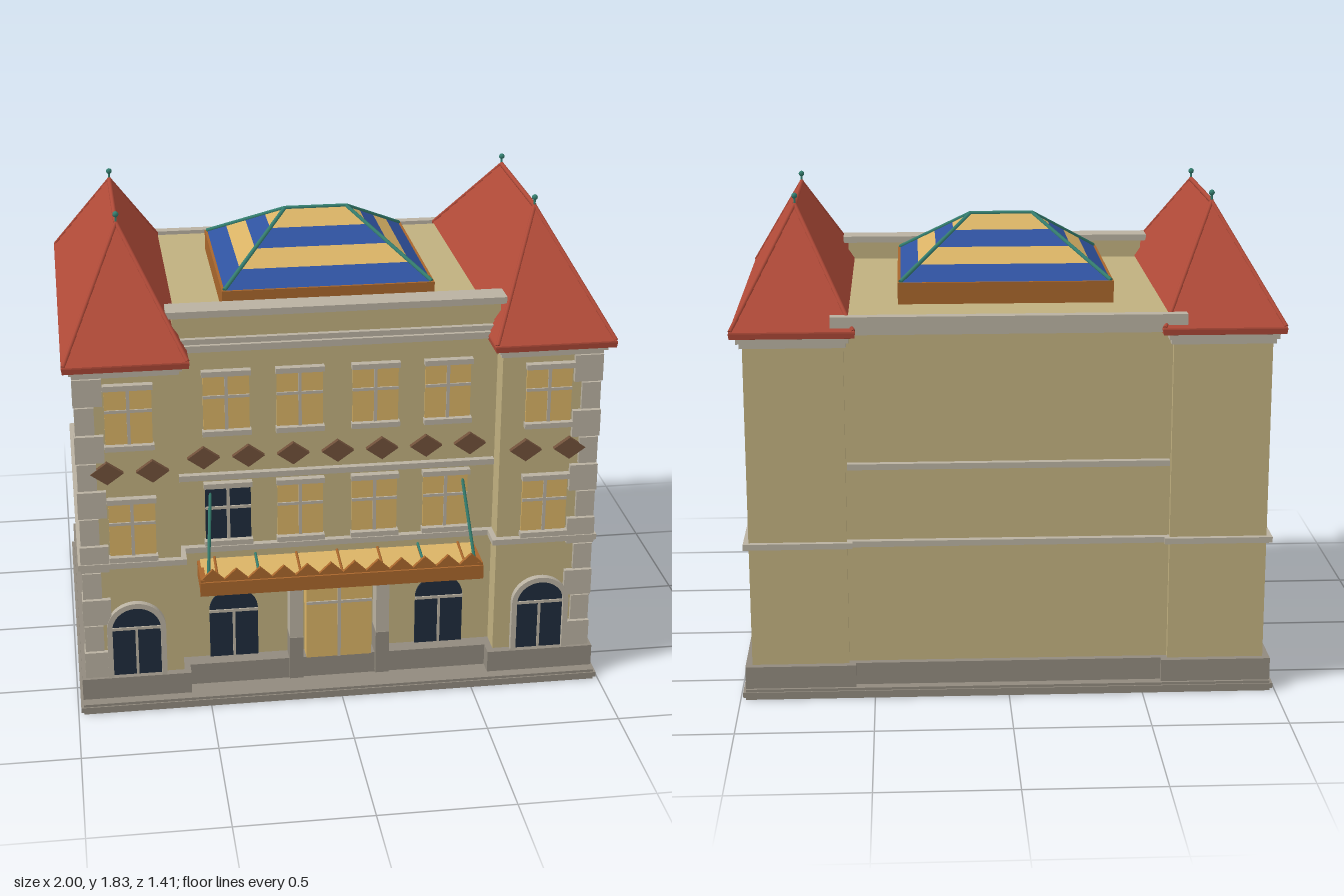
import * as THREE from 'three';

const mat = (name, color) => {
  const m = new THREE.MeshStandardMaterial({ color });
  m.name = name;
  return m;
};

export function createModel() {
  const root = new THREE.Group();
  root.name = 'townBuilding';
  const wall = mat('wall plaster', 0xc0b07f), stone = mat('light stone', 0xb9b1a1);
  const base = mat('base stone', 0x918a7e), red = mat('roof tile', 0xb04a38);
  const navy = mat('dark glass', 0x1f2c3c), tan = mat('lit glass', 0xd9b265);
  const blue = mat('blue glass', 0x2f529f), wood = mat('orange wood', 0xa8662c);
  const brown = mat('brown ornament', 0x70503a), teal = mat('copper', 0x357f70);

  const add = (name, geo, m, parent = root) => {
    const o = new THREE.Mesh(geo, m);
    o.name = name;
    parent.add(o);
    return o;
  };
  // box given by its limits on each axis
  const box = (name, m, x0, x1, y0, y1, z0, z1, parent = root) => {
    const o = add(name, new THREE.BoxGeometry(x1 - x0, y1 - y0, z1 - z0), m, parent);
    o.position.set((x0 + x1) / 2, (y0 + y1) / 2, (z0 + z1) / 2);
    return o;
  };
  // round bar between two points
  const bar = (name, m, a, b, r, parent = root) => {
    const p = new THREE.Vector3(...a), q = new THREE.Vector3(...b), d = q.clone().sub(p);
    const o = add(name, new THREE.CylinderGeometry(r, r, d.length(), 8), m, parent);
    o.position.copy(p).add(q).multiplyScalar(0.5);
    o.quaternion.setFromUnitVectors(new THREE.Vector3(0, 1, 0), d.normalize());
    return o;
  };
  // flat-sided loft through rectangles [halfX, halfZ, y]
  const rectLoft = (rings) => {
    const pos = [];
    const corners = ([hx, hz, y]) => [[-hx, y, hz], [hx, y, hz], [hx, y, -hz], [-hx, y, -hz]];
    for (let k = 0; k < rings.length - 1; k++) {
      const a = corners(rings[k]), b = corners(rings[k + 1]);
      for (let i = 0; i < 4; i++) {
        const j = (i + 1) % 4;
        pos.push(...a[i], ...a[j], ...b[j], ...a[i], ...b[j], ...b[i]);
      }
    }
    const g = new THREE.BufferGeometry();
    g.setAttribute('position', new THREE.Float32BufferAttribute(pos, 3));
    g.computeVertexNormals();
    return g;
  };
  const extrude = (shape, depth) => new THREE.ExtrudeGeometry(shape, { depth, bevelEnabled: false, curveSegments: 16 });
  const lerp = THREE.MathUtils.lerp;

  // Base and main block
  const CZ = 0.54, TZ = 0.63;
  box('baseStep', base, -0.98, 0.98, 0, 0.04, -0.695, 0.7);
  box('baseStepRim', base, -0.99, 0.99, 0.01, 0.03, -0.7, 0.705);
  box('centrePlinth', base, -0.6, 0.6, 0.04, 0.125, -0.66, 0.6);
  box('centreWalls', wall, -0.62, 0.62, 0.1, 1.44, -0.635, CZ);
  box('parapet', wall, -0.6, 0.6, 1.44, 1.51, 0.48, CZ);
  box('parapetCap', stone, -0.62, 0.62, 1.51, 1.535, 0.46, 0.557);
  box('frontCornice', stone, -0.6, 0.6, 1.385, 1.41, CZ - 0.02, 0.575);
  box('frontCorniceTop', stone, -0.6, 0.6, 1.41, 1.43, CZ - 0.02, 0.56);
  box('backCornice', stone, -0.6, 0.6, 1.38, 1.41, -0.67, -0.62);
  box('backCap', stone, -0.64, 0.64, 1.41, 1.45, -0.69, -0.65);
  box('lowerStringCourse', stone, -0.6, 0.6, 0.58, 0.602, -0.66, CZ + 0.025);
  box('upperStringCourse', stone, -0.59, 0.59, 0.875, 0.897, -0.66, CZ + 0.025);

  // Rectangular window with lintel, sill and glazing bars
  const addWindow = (x, y0, z, glass) => {
    const g = new THREE.Group();
    g.name = 'window';
    root.add(g);
    g.position.set(x, y0, z);
    box('glass', glass, -0.085, 0.085, 0, 0.22, 0, 0.008, g);
    box('lintel', stone, -0.09, 0.09, 0.215, 0.235, 0, 0.028, g);
    box('sill', stone, -0.09, 0.09, -0.018, 0.002, 0, 0.03, g);
    box('mullion', stone, -0.006, 0.006, 0, 0.22, 0, 0.014, g);
    box('transom', stone, -0.085, 0.085, 0.125, 0.136, 0, 0.014, g);
  };
  // Arched opening outline
  const arch = (C, w, y0, spring, top) => {
    const s = new C();
    s.moveTo(-w, y0);
    s.lineTo(w, y0);
    s.lineTo(w, spring);
    s.absellipse(0, spring, w, top - spring, 0, Math.PI, false);
    s.lineTo(-w, y0);
    return s;
  };
  const addArchWindow = (x, z, surround) => {
    const g = new THREE.Group();
    g.name = 'archedWindow';
    root.add(g);
    g.position.set(x, 0, z);
    add('glass', extrude(arch(THREE.Shape, 0.092, 0.12, 0.325, 0.41), 0.008), navy, g);
    box('mullion', stone, -0.005, 0.005, 0.12, 0.32, 0, 0.013, g);
    box('transom', stone, -0.092, 0.092, 0.315, 0.326, 0, 0.013, g);
    if (surround) {
      const ring = arch(THREE.Shape, 0.11, 0.12, 0.325, 0.43);
      ring.holes.push(arch(THREE.Path, 0.09, 0.121, 0.325, 0.41));
      add('archSurround', extrude(ring, 0.025), stone, g);
    }
  };
  for (const x of [-0.41, -0.14, 0.14, 0.41]) {
    addWindow(x, 1.07, CZ, tan);
    addWindow(x, 0.625, CZ, x < -0.4 ? navy : tan);
  }

  // Diamond ornaments
  const rhombus = new THREE.Shape([[-0.06, 0], [0, -0.043], [0.06, 0], [0, 0.043]].map((p) => new THREE.Vector2(...p)));
  const diamondGeo = extrude(rhombus, 0.02);
  const diamond = (x, z) => add('diamond', diamondGeo, brown).position.set(x, 0.962, z);
  for (let i = -3; i <= 3; i++) diamond(i * 0.166, CZ);

  // Hipped tile roof in overlapping courses
  const rings = [[0.2, 0.68, 1.37], [0.222, 0.7, 1.375], [0.225, 0.702, 1.395]];
  const N = 9;
  const hip = (t, lip) => [lerp(0.218, 0.002, t) + lip, lerp(0.696, 0.28, t) + lip, lerp(1.4, 1.79, t)];
  for (let i = 0; i < N; i++) rings.push(hip(i / N, 0.005), hip((i + 1) / N, 0));
  const roofGeo = rectLoft(rings);

  // Mirrored side wings
  for (const s of [-1, 1]) {
    const g = new THREE.Group();
    g.name = s > 0 ? 'leftWing' : 'rightWing';
    g.position.x = s * 0.775;
    root.add(g);
    box('plinth', base, -0.205, 0.205, 0.04, 0.125, -0.685, 0.66, g);
    box('walls', wall, -0.18, 0.18, 0.1, 1.38, -0.66, TZ, g);
    box('stringCourse', stone, -0.2, 0.2, 0.58, 0.602, -0.68, 0.655, g);
    box('corniceLower', stone, -0.19, 0.19, 1.335, 1.355, -0.675, 0.65, g);
    box('corniceUpper', stone, -0.2, 0.2, 1.355, 1.375, -0.69, 0.67, g);
    add('roof', roofGeo, red, g);
    bar('ridgeCap', red, [0, 1.79, -0.28], [0, 1.79, 0.28], 0.009, g);
    for (const z of [-1, 1]) {
      for (const x of [-1, 1]) bar('hipCap', red, [x * 0.218, 1.402, z * 0.696], [0, 1.79, z * 0.28], 0.008, g);
      bar('finialStem', teal, [0, 1.785, z * 0.28], [0, 1.825, z * 0.28], 0.004, g);
      add('finialBall', new THREE.SphereGeometry(0.011, 12, 8), teal, g).position.set(0, 1.822, z * 0.28);
    }
    // Corner stones of alternating width
    for (let i = 0; i < 11; i++) {
      const y = 0.127 + i * 0.11, w = i % 2 ? 0.07 : 0.105, e = i % 2 ? 0 : 0.004;
      const q = box('cornerStone', stone, -w / 2, w / 2, y, y + 0.104, 0.57, 0.646 + e, g);
      q.position.x = s * (0.187 + e - w / 2);
    }
    addWindow(s * 0.77, 1.07, TZ, tan);
    addWindow(s * 0.77, 0.625, TZ, tan);
    addArchWindow(s * 0.77, TZ, true);
    addArchWindow(s * 0.396, CZ, false);
    diamond(s * 0.69, TZ);
    diamond(s * 0.855, TZ);

    // Entrance pillars and canopy stays
    box('pillar', stone, s * 0.165 - 0.025, s * 0.165 + 0.025, 0.225, 0.48, CZ, 0.62);
    box('pillarFoot', base, s * 0.165 - 0.026, s * 0.165 + 0.026, 0.05, 0.225, CZ, 0.625);
    bar('canopyStay', teal, [s * 0.5, 0.54, 0.69], [s * 0.475, 0.82, CZ], 0.006);
    bar('canopyBrace', teal, [s * 0.31, 0.532, 0.69], [s * 0.31, 0.552, CZ], 0.005);
    box('canopySide', wood, s * 0.52 - 0.01, s * 0.52 + 0.01, 0.475, 0.535, CZ, 0.7);
  }

  // Entrance door
  box('doorGlass', tan, -0.125, 0.125, 0.125, 0.45, CZ, 0.606);
  box('doorHead', stone, -0.14, 0.14, 0.445, 0.465, CZ, 0.61);
  box('doorMullion', stone, -0.006, 0.006, 0.125, 0.45, 0.6, 0.612);
  box('doorTransom', stone, -0.125, 0.125, 0.355, 0.366, 0.6, 0.612);

  // Canopy with a toothed fascia
  const fascia = new THREE.Shape();
  fascia.moveTo(-0.53, 0.47);
  fascia.lineTo(0.53, 0.47);
  fascia.lineTo(0.53, 0.53);
  for (let i = 0; i < 12; i++) {
    const x = 0.53 - (i * 1.06) / 12;
    fascia.lineTo(x - 0.044, 0.572);
    fascia.lineTo(x - 1.06 / 12, 0.53);
  }
  add('canopyFascia', extrude(fascia, 0.014), wood).position.z = 0.683;
  box('canopyRail', wood, -0.532, 0.532, 0.47, 0.525, 0.69, 0.705);
  const canopyGlass = box('canopyGlass', tan, -0.52, 0.52, 0.525, 0.533, 0.535, 0.69);
  canopyGlass.rotation.x = 0.12;
  for (let i = -3; i <= 3; i++) bar('canopyRib', wood, [i * 0.155, 0.528, 0.69], [i * 0.155, 0.546, CZ], 0.005);

  // Striped glass skylight
  const sky = new THREE.Group();
  sky.name = 'skylight';
  sky.position.z = -0.057;
  root.add(sky);
  box('skylightFrame', wood, -0.398, 0.398, 1.43, 1.52, -0.372, 0.372, sky);
  const level = (t) => [lerp(0.388, 0.118, t), lerp(0.362, 0.002, t), lerp(1.52, 1.715, t)];
  for (let i = 0; i < 4; i++) add('glassBand', rectLoft([level(i / 4), level((i + 1) / 4)]), i % 2 ? tan : blue, sky);
  bar('skylightRidge', teal, [-0.118, 1.715, 0], [0.118, 1.715, 0], 0.008, sky);
  for (const x of [-1, 1]) for (const z of [-1, 1]) {
    bar('skylightHip', teal, [x * 0.388, 1.522, z * 0.362], [x * 0.118, 1.715, 0], 0.008, sky);
  }
  return root;
}
